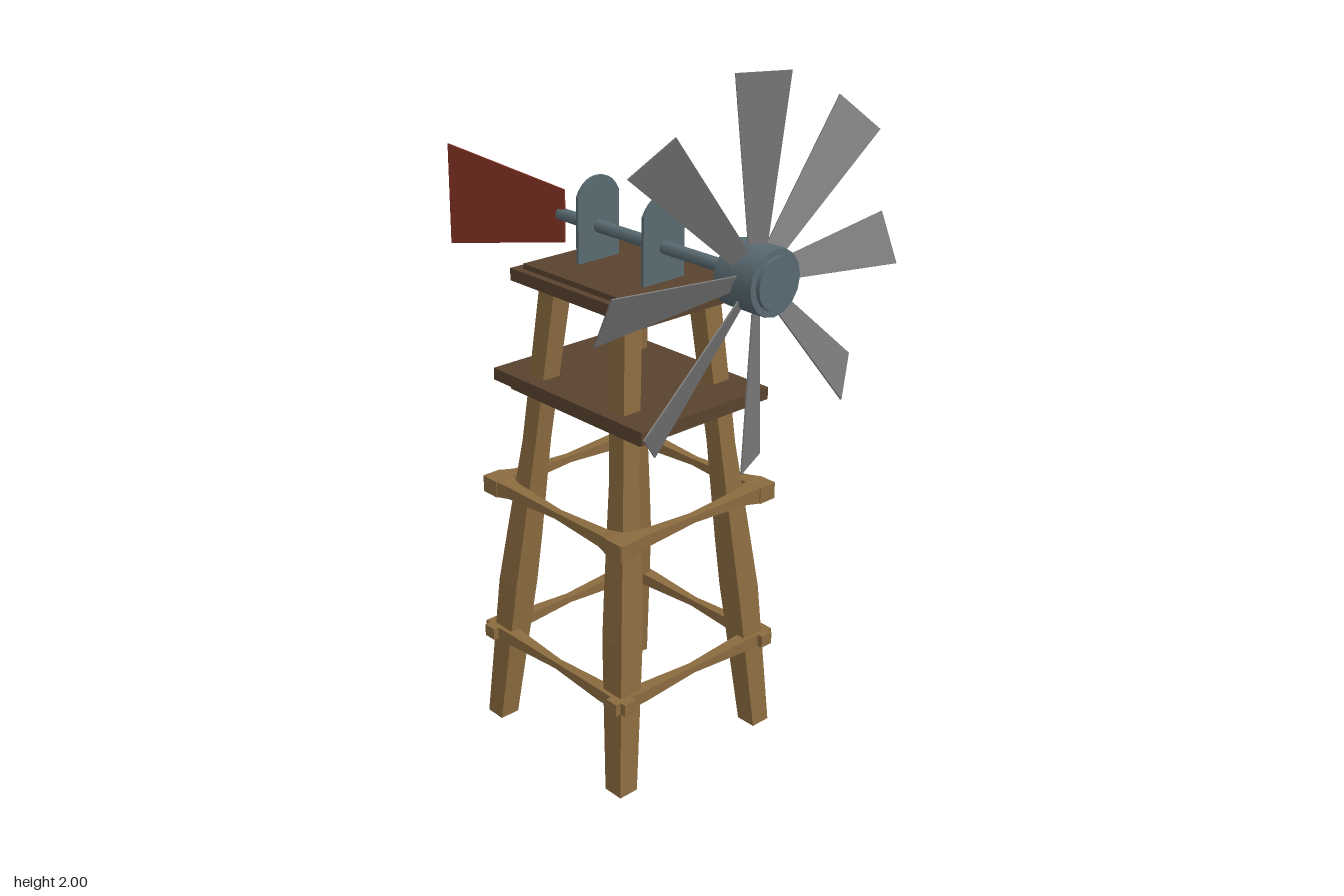
import * as THREE from 'three';

const mat = (name, color) => Object.assign(new THREE.MeshStandardMaterial({ color }), { name });

// Square-section beam along y; each section is [y, centreX, centreZ, halfX, halfZ]
function beam(sections) {
  const rings = sections.map(([y, cx, cz, hx, hz]) => [
    [cx - hx, y, cz + hz], [cx + hx, y, cz + hz], [cx + hx, y, cz - hz], [cx - hx, y, cz - hz],
  ]);
  const pos = [];
  const quad = (a, b, c, d) => [a, b, c, a, c, d].forEach((p) => pos.push(...p));
  for (let i = 0; i < rings.length - 1; i++) {
    const lo = rings[i], hi = rings[i + 1];
    for (let k = 0; k < 4; k++) quad(lo[k], lo[(k + 1) % 4], hi[(k + 1) % 4], hi[k]);
  }
  const first = rings[0], last = rings[rings.length - 1];
  quad(first[3], first[2], first[1], first[0]);
  quad(...last);
  const g = new THREE.BufferGeometry();
  g.setAttribute('position', new THREE.Float32BufferAttribute(pos, 3));
  g.computeVertexNormals();
  return g;
}

// Thin plate cut from a shape, centred on its thickness
function plate(shape, depth) {
  return new THREE.ExtrudeGeometry(shape, { depth, bevelEnabled: false, curveSegments: 5 })
    .translate(0, 0, -depth / 2);
}

const polygon = (pts) => new THREE.Shape(pts.map(([x, y]) => new THREE.Vector2(x, y)));

export function createModel() {
  const wood = mat('timber', 0x8b6b3f);
  const plank = mat('dark planks', 0x59432e);
  const steel = mat('blue grey steel', 0x586a71);
  const tin = mat('grey blades', 0x787878);
  const red = mat('red vane', 0x843424);

  const model = new THREE.Group();
  model.name = 'windPump';
  const add = (name, geometry, material, parent = model) => {
    const m = new THREE.Mesh(geometry, material);
    m.name = name;
    parent.add(m);
    return m;
  };

  // Tower, centred slightly forward of the origin
  const tower = new THREE.Group();
  tower.name = 'tower';
  tower.position.z = 0.06;
  model.add(tower);

  // Four leaning legs, thicker at mid height: [y, offset, half width]
  const legProfile = [[0, 0.265, 0.031], [0.45, 0.226, 0.039], [0.6, 0.211, 0.036],
    [0.9, 0.182, 0.028], [1.36, 0.14, 0.031]];
  for (const sx of [-1, 1]) for (const sz of [-1, 1]) {
    add('leg', beam(legProfile.map(([y, o, h]) => [y, sx * o, sz * o, h, h])), wood, tower);
  }

  // Two rings of crossing braces, pinched in the middle
  const rings = [
    { y: 0.285, offset: 0.268, half: 0.305, across: 0.02, tall: 0.018 },
    { y: 0.757, offset: 0.261, half: 0.292, across: 0.029, tall: 0.024 },
  ];
  for (const r of rings) {
    const full = (t) => [t, 0, 0, r.tall, r.across];
    const inner = (t) => [t, 0, 0, 0.018, 0.019];
    const geo = beam([full(-r.half), full(-0.235), inner(-0.19), [0, 0, 0, 0.01, 0.011],
      inner(0.19), full(0.235), full(r.half)]).rotateZ(Math.PI / 2);
    for (let i = 0; i < 4; i++) {
      const side = new THREE.Group();
      side.name = 'braceSide';
      side.rotation.y = i * Math.PI / 2;
      tower.add(side);
      add('brace', geo, wood, side).position.set(0, r.y, r.offset);
    }
  }

  // Stepped platforms: [name, halfX, halfZ, bottom, top]
  for (const [name, hx, hz, y0, y1] of [
    ['lowerDeckFrame', 0.203, 0.267, 1.03, 1.055],
    ['lowerDeck', 0.233, 0.304, 1.055, 1.09],
    ['upperDeck', 0.2, 0.261, 1.35, 1.385],
    ['upperDeckCap', 0.178, 0.231, 1.385, 1.4],
  ]) {
    add(name, new THREE.BoxGeometry(hx * 2, y1 - y0, hz * 2), plank, tower)
      .position.y = (y0 + y1) / 2;
  }

  // Arched bearing plates carrying the shaft
  const axleY = 1.494;
  const arch = new THREE.Shape();
  arch.moveTo(-0.073, 1.395);
  arch.lineTo(0.073, 1.395);
  arch.lineTo(0.073, 1.585);
  arch.quadraticCurveTo(0.05, 1.635, 0, 1.635);
  arch.quadraticCurveTo(-0.05, 1.635, -0.073, 1.585);
  for (const z of [0.19, -0.068]) add('bearingPlate', plate(arch, 0.009), steel).position.z = z;

  // Shaft and hub along z: [name, radius, back, front, sides]
  for (const [name, radius, z0, z1, sides] of [
    ['shaft', 0.018, -0.225, 0.47, 10],
    ['hub', 0.088, 0.462, 0.588, 16],
    ['hubCap', 0.07, 0.588, 0.6, 16],
  ]) {
    add(name, new THREE.CylinderGeometry(radius, radius, z1 - z0, sides).rotateX(Math.PI / 2), steel)
      .position.set(0, axleY, (z0 + z1) / 2);
  }

  // Eight pitched blades widening toward the tip
  const rotor = new THREE.Group();
  rotor.name = 'rotor';
  rotor.position.set(0, axleY, 0.525);
  model.add(rotor);
  const bladeGeo = plate(polygon([[-0.022, 0.05], [0.022, 0.05], [0.072, 0.505], [-0.072, 0.505]]), 0.004)
    .rotateY(-0.43);
  for (let i = 0; i < 8; i++) add('blade', bladeGeo, tin, rotor).rotation.z = i * Math.PI / 4;

  // Tail vane, swung a little to one side
  const vaneGeo = plate(polygon([[0, -0.077], [0.407, -0.149], [0.407, 0.147], [0, 0.073]]), 0.005);
  const vane = add('tailVane', vaneGeo, red);
  vane.position.set(-0.002, axleY, -0.203);
  vane.rotation.y = Math.PI / 2 + 0.253;

  return model;
}
